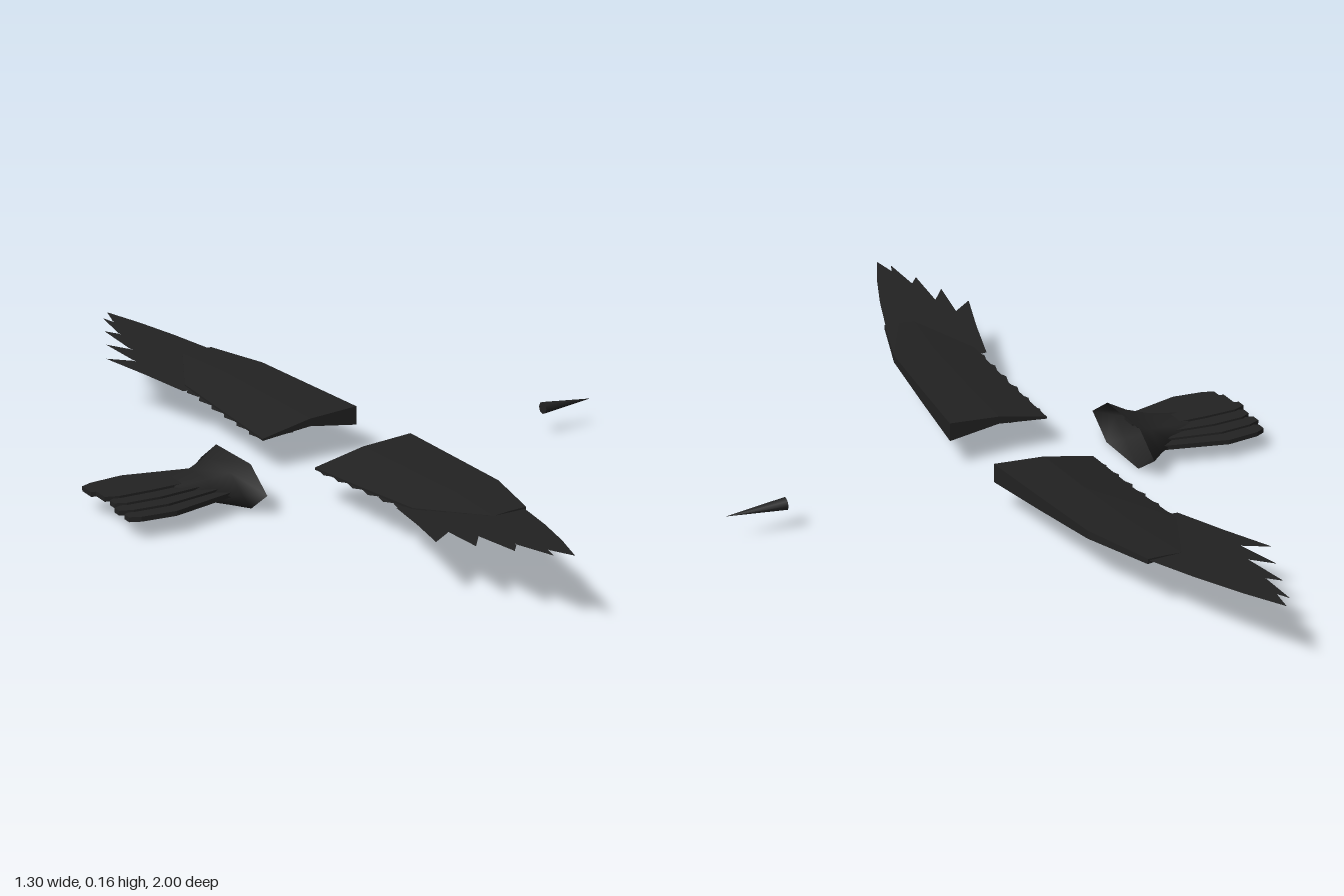
import * as THREE from 'three';

const plumage = new THREE.MeshStandardMaterial({ color: 0x222222, side: THREE.DoubleSide });
plumage.name = 'charcoal plumage';

function add(parent, geometry, name) {
  const mesh = new THREE.Mesh(geometry, plumage);
  mesh.name = name;
  parent.add(mesh);
  return mesh;
}

// Skin over a list of closed rings of [x, y, z] points
function loft(rings, capped, smooth) {
  const n = rings[0].length, last = (rings.length - 1) * n, index = [];
  for (let i = 0; i < rings.length - 1; i++) {
    for (let j = 0; j < n; j++) {
      const a = i * n + j, b = i * n + (j + 1) % n;
      index.push(a, b, b + n, a, b + n, a + n);
    }
  }
  if (capped) {
    for (let j = 1; j < n - 1; j++) index.push(0, j + 1, j, last, last + j, last + j + 1);
  }
  let g = new THREE.BufferGeometry();
  g.setAttribute('position', new THREE.Float32BufferAttribute(rings.flat(2), 3));
  g.setIndex(index);
  if (!smooth) g = g.toNonIndexed();
  g.computeVertexNormals();
  return g;
}

const outline = (pts) => new THREE.Shape(pts.map(([x, z]) => new THREE.Vector2(x, -z)));

// Flat feather that follows the upward sweep of the wing
function sheet(pts, height) {
  const g = new THREE.ShapeGeometry(outline(pts));
  g.rotateX(-Math.PI / 2);
  const p = g.attributes.position;
  for (let i = 0; i < p.count; i++) p.setY(i, height(p.getZ(i)));
  g.computeVertexNormals();
  return g;
}

function buildWing() {
  const wing = new THREE.Group();

  // Arm: z, leading x, trailing x, leading bottom, leading top, trailing-edge droop
  const stations = [
    [0.115, 0.06, -0.19, 0.07, 0.115, 0.035],
    [0.3, 0.046, -0.185, 0.087, 0.12, 0.03],
    [0.5, 0.03, -0.185, 0.107, 0.126, 0.02],
    [0.67, -0.02, -0.1, 0.118, 0.13, 0.004],
  ];
  const rings = stations.map(([z, xl, xt, lo, hi, droop]) => {
    const at = (t) => xl + (xt - xl) * t;
    const te = hi - droop;
    return [
      [at(0.5), lo + (hi - lo) * 0.4, z],
      [at(0), lo, z],
      [at(0), hi, z],
      [at(0.5), hi - droop * 0.25, z],
      [at(1), te, z],
      [at(1), te - 0.005, z],
    ];
  });
  add(wing, loft(rings, true, false), 'wingArm');

  // Secondaries peeking out along the trailing edge
  for (let i = 0; i < 6; i++) {
    const z = 0.13 + i * 0.06;
    const pts = [[-0.1, z], [-0.187, z], [-0.197, z + 0.035], [-0.182, z + 0.062], [-0.1, z + 0.07]];
    add(wing, sheet(pts, (v) => 0.068 + 0.06 * v), 'secondaryFeather');
  }

  // Primaries, from the innermost to the wing tip
  const primaries = [
    [[-0.1, 0.46], [-0.205, 0.47], [-0.24, 0.6], [-0.28, 0.73], [-0.225, 0.69], [-0.14, 0.58]],
    [[-0.08, 0.47], [-0.16, 0.5], [-0.225, 0.69], [-0.24, 0.81], [-0.2, 0.76], [-0.12, 0.6]],
    [[-0.06, 0.48], [-0.13, 0.5], [-0.2, 0.76], [-0.205, 0.89], [-0.18, 0.86], [-0.08, 0.62]],
    [[-0.03, 0.49], [-0.1, 0.5], [-0.18, 0.86], [-0.17, 0.97], [-0.155, 0.93], [-0.06, 0.64]],
    [[0.03, 0.5], [-0.07, 0.5], [-0.16, 0.88], [-0.157, 0.94], [-0.143, 1], [-0.1, 0.9], [-0.06, 0.79], [-0.02, 0.66]],
  ];
  primaries.forEach((pts, i) => {
    add(wing, sheet(pts, (z) => 0.053 + 0.1 * z + i * 0.0015), 'primaryFeather');
  });
  return wing;
}

function buildTail() {
  const tail = new THREE.Group();

  // Rump: open hexagonal funnel narrowing backwards (x, half width, bottom, top)
  const rump = [
    [-0.33, 0.15, 0, 0.103],
    [-0.37, 0.113, 0.01, 0.085],
    [-0.42, 0.08, 0.023, 0.073],
    [-0.49, 0.05, 0.041, 0.066],
  ].map(([x, w, lo, hi]) => {
    const mid = (lo + hi) / 2, s = w * 0.52;
    return [[x, mid, w], [x, hi, s], [x, hi, -s], [x, mid, -w], [x, lo, -s], [x, lo, s]];
  });
  add(tail, loft(rump, false, true), 'rump');

  // Overlapping fan of tail feathers, the middle one on top
  for (let i = -3; i <= 3; i++) {
    const m = Math.abs(i), end = -0.65 + (m % 2) * 0.006;
    const pts = [
      [-0.385, i * 0.024 - 0.02], [-0.385, i * 0.024 + 0.02],
      [-0.54, i * 0.036 + 0.024], [-0.62, i * 0.034 + 0.022],
      [end, i * 0.034 + 0.011], [end, i * 0.034 - 0.011],
      [-0.62, i * 0.034 - 0.022], [-0.54, i * 0.036 - 0.024],
    ];
    const g = new THREE.ExtrudeGeometry(outline(pts), { depth: 0.011, bevelEnabled: false });
    g.rotateX(-Math.PI / 2);
    add(tail, g, 'tailFeather').position.y = 0.057 - m * 0.005;
  }
  return tail;
}

export function createModel() {
  const bird = new THREE.Group();
  bird.name = 'bird';

  for (const side of [1, -1]) {
    const wing = buildWing();
    wing.name = side > 0 ? 'frontWing' : 'backWing';
    wing.scale.z = side;
    bird.add(wing);
  }

  const tail = buildTail();
  tail.name = 'tail';
  bird.add(tail);

  // Beak pointing forward along +x
  const beak = new THREE.ConeGeometry(0.015, 0.14, 8);
  beak.rotateZ(-Math.PI / 2);
  add(bird, beak, 'beak').position.set(0.58, 0.065, 0);

  return bird;
}
